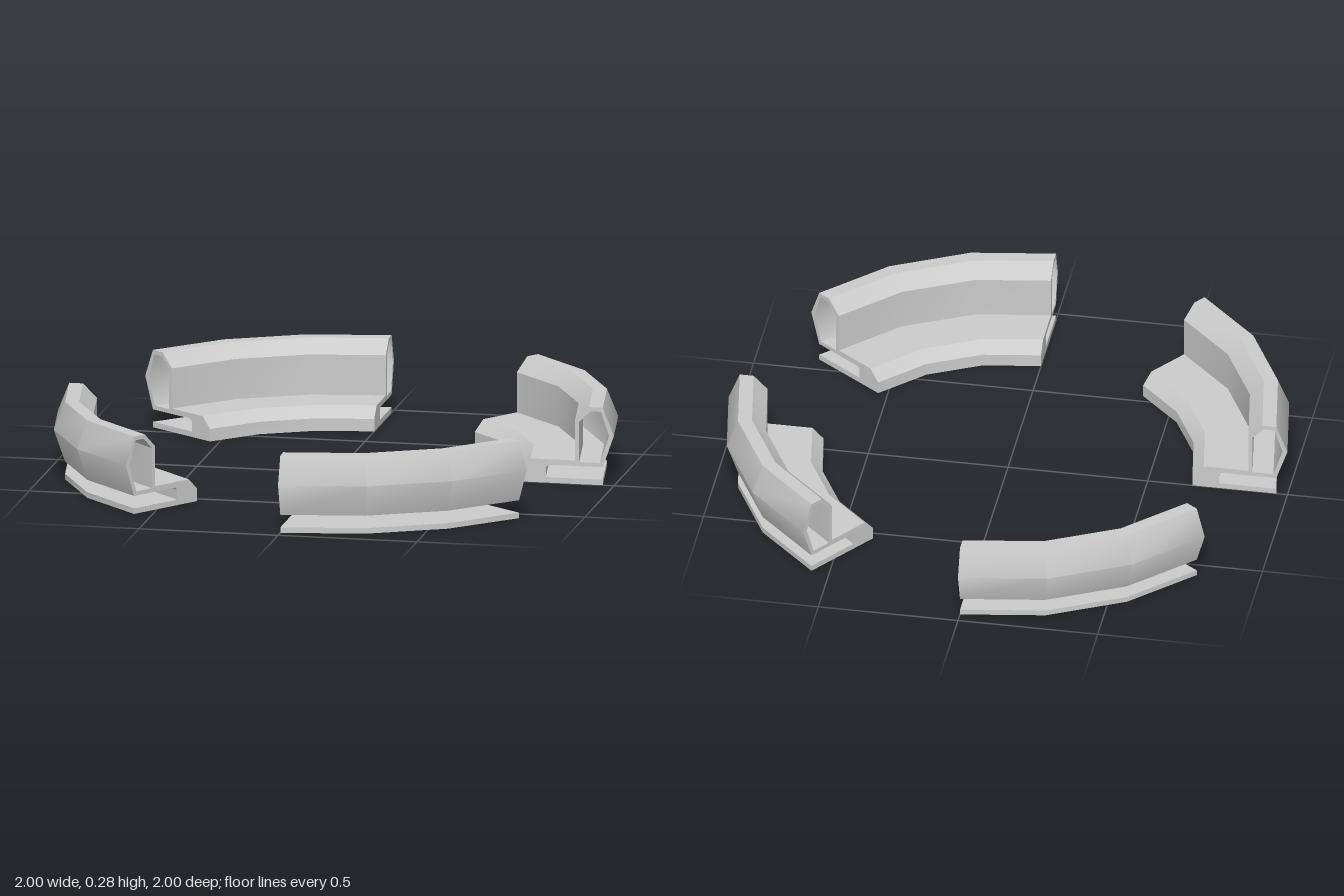
import * as THREE from 'three';
import { toCreasedNormals } from 'three/addons/utils/BufferGeometryUtils.js';

const STEP = Math.PI / 10; // 18 degrees per straight run
const STEPS = 3;

// Cross-sections as [radius, height]
const BODY = [
  [0.66, 0], [0.66, 0.045], [0.70, 0.085], [0.86, 0.085], // front lip and seat
  [0.86, 0.23], [0.91, 0.28], [0.96, 0.28], [1.0, 0.18], [0.96, 0.065], // backrest
  [0.765, 0.065], [0.755, 0.055], [0.755, 0.02], // slot under the seat
  [0.96, 0.02], [0.96, 0], [0.755, 0], // base plate
];
const BORE = [
  [0.875, 0.225], [0.875, 0.08], [0.95, 0.08],
  [0.982, 0.18], [0.953, 0.265], [0.915, 0.265],
];

// Sweeps a cross-section round the y axis in straight runs
function sweep(profile, closed) {
  const pos = [];
  const point = ([r, y], i) => [r * Math.sin(i * STEP), y, r * Math.cos(i * STEP)];
  const count = closed ? profile.length : profile.length - 1;
  for (let i = 0; i < STEPS; i++) {
    for (let j = 0; j < count; j++) {
      const p = profile[j], q = profile[(j + 1) % profile.length];
      const a = point(p, i), b = point(q, i), c = point(p, i + 1), d = point(q, i + 1);
      pos.push(...a, ...b, ...c, ...b, ...d, ...c);
    }
  }
  const geo = new THREE.BufferGeometry();
  geo.setAttribute('position', new THREE.Float32BufferAttribute(pos, 3));
  return toCreasedNormals(geo, 0.75);
}

// Flat end face with the backrest bore cut out
function endFace(angle) {
  const vectors = (list) => list.map(([r, y]) => new THREE.Vector2(r, y));
  const shape = new THREE.Shape(vectors(BODY));
  shape.holes.push(new THREE.Path(vectors(BORE)));
  return new THREE.ShapeGeometry(shape).rotateY(angle - Math.PI / 2);
}

export function createModel() {
  const model = new THREE.Group();
  model.name = 'curvedBenches';
  const material = new THREE.MeshStandardMaterial({ color: 0xcccccc, side: THREE.DoubleSide });

  const parts = {
    benchShell: sweep(BODY, false), // front lip is open underneath
    backrestBore: sweep(BORE, true),
    startEnd: endFace(0),
    farEnd: endFace(STEPS * STEP),
  };

  // Four benches round the circle
  for (let k = 0; k < 4; k++) {
    const bench = new THREE.Group();
    bench.name = `bench${k + 1}`;
    for (const [name, geometry] of Object.entries(parts)) {
      const mesh = new THREE.Mesh(geometry, material);
      mesh.name = name;
      bench.add(mesh);
    }
    bench.rotation.y = (k * Math.PI) / 2;
    model.add(bench);
  }
  return model;
}
